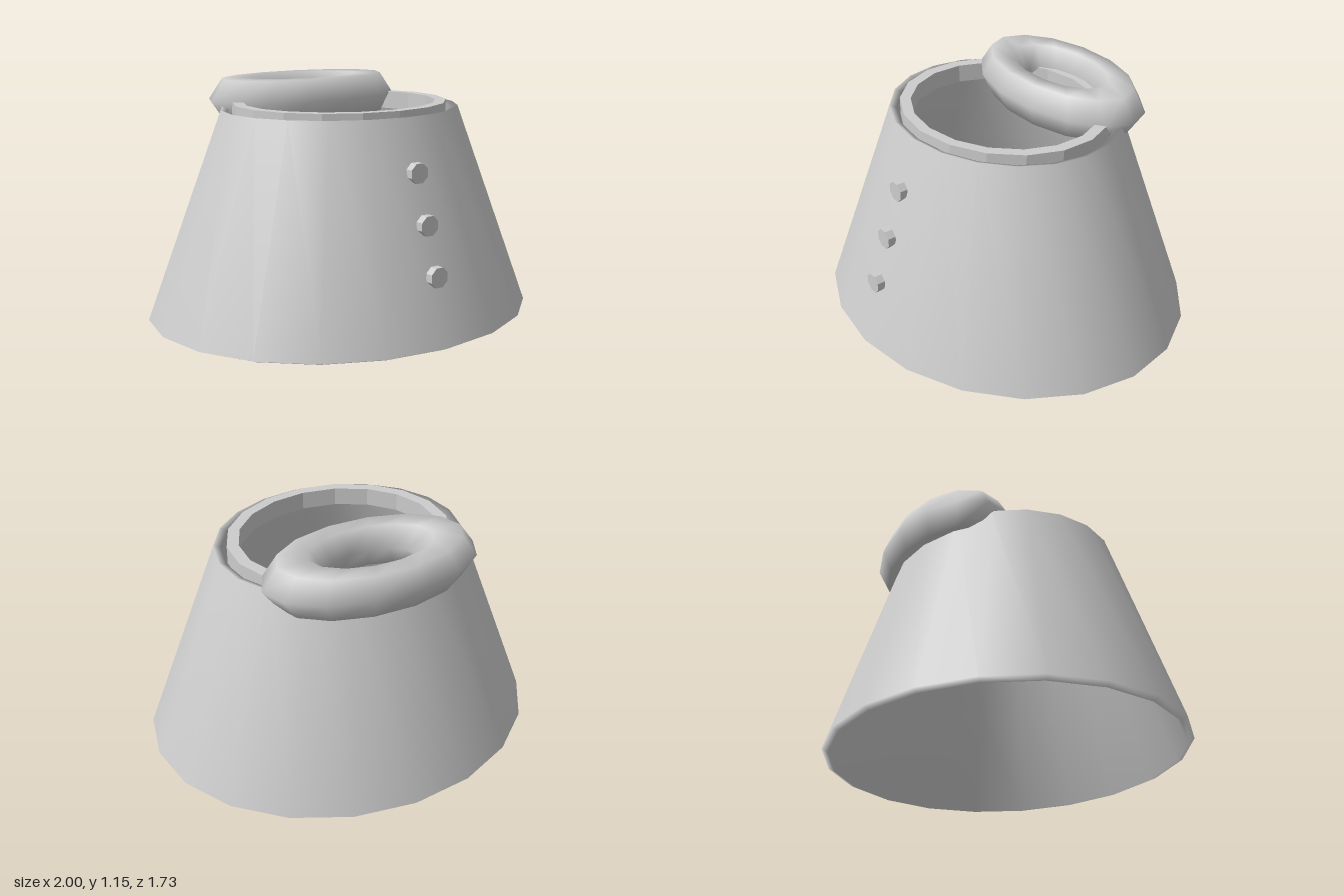
import * as THREE from 'three';

const cloth = new THREE.MeshStandardMaterial({ color: 0xcccccc });
cloth.name = 'light grey';

const mesh = (name, geometry) => {
  const m = new THREE.Mesh(geometry, cloth);
  m.name = name;
  return m;
};

// Oval ring of a closed profile [radius, y]
const ovalLathe = (profile, sides, depth) =>
  new THREE.LatheGeometry(profile.map(([r, y]) => new THREE.Vector2(r, y)), sides).scale(1, 1, depth);

const faceted = (geometry) => {
  const g = geometry.toNonIndexed();
  g.computeVertexNormals();
  return g;
};

export function createModel() {
  const group = new THREE.Group();
  group.name = 'cape';

  // Flared shell with a thin wall, open at both ends
  group.add(mesh('capeBody', ovalLathe(
    [[0.773, 0.51], [0.965, 0], [1, 0.015], [0.615, 1.03], [0.58, 1.018], [0.773, 0.51]], 20, 0.865)));

  // Collar band standing inside the neck opening
  group.add(mesh('collar', faceted(ovalLathe(
    [[0.495, 0.965], [0.553, 0.965], [0.553, 1.055], [0.495, 1.055], [0.495, 0.965]], 18, 0.882))));

  // Rolled hood resting on the back of the neck
  const hood = new THREE.TorusGeometry(0.3875, 0.1525, 6, 14);
  hood.rotateX(Math.PI / 2).scale(1, 0.795, 0.542).translate(0, 1.05, -0.345);
  group.add(mesh('hoodRoll', hood));

  // Three buttons down the front
  for (const [y, z] of [[0.785, 0.622], [0.555, 0.702], [0.33, 0.777]]) {
    const button = new THREE.CylinderGeometry(0.05, 0.05, 0.04, 8, 1, false, Math.PI / 8);
    button.rotateX(Math.PI / 2).translate(0, y, z);
    group.add(mesh('button', faceted(button)));
  }
  return group;
}
